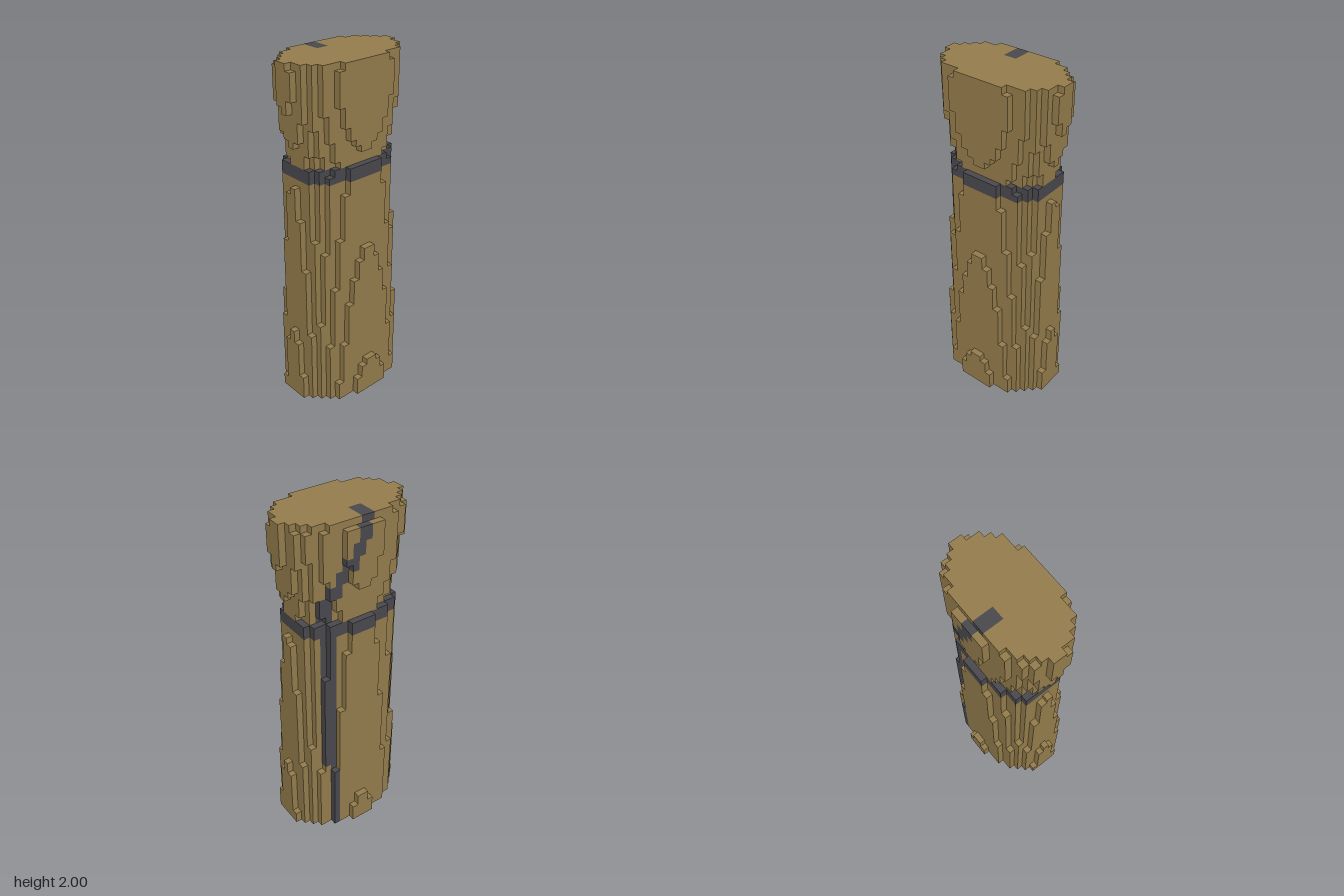
import * as THREE from 'three';

const LAYERS = 54;
const CELL = 2 / LAYERS;

// Elliptical cross-sections by layer: [layer, half width x, half depth z, centre z]
const SECTIONS = [
  [0, 10, 7.3, 0.1],
  [5.5, 9.77, 7.0, 0.03],
  [11.5, 9.5, 6.77, -0.05],
  [25, 8.94, 6.24, -0.23],
  [35.5, 8.5, 5.83, -0.38],
  [38, 8.4, 5.8, -0.4],
  [39, 7.95, 5.05, -0.3],
  [41, 8.35, 5.34, -0.3],
  [44, 8.95, 5.72, -0.3],
  [47, 9.51, 5.95, -0.25],
  [50, 9.8, 6.06, -0.2],
  [52, 9.75, 6.02, -0.2],
  [53, 9.6, 5.75, -0.2],
];

function sectionAt(j) {
  const i = Math.max(1, SECTIONS.findIndex((s) => s[0] >= j));
  const p = SECTIONS[i - 1], q = SECTIONS[i];
  const t = (j - p[0]) / (q[0] - p[0]);
  return p.map((v, k) => v + (q[k] - v) * t);
}
const TABLE = Array.from({ length: LAYERS }, (_, j) => sectionAt(j));

// Cell i spans x from i to i + 1; cell k is centred on z = k
function filled(i, j, k) {
  if (j < 0 || j >= LAYERS) return false;
  const [, a, b, c] = TABLE[j];
  return ((i + 0.5) / a) ** 2 + ((k - c) / b) ** 2 <= 1;
}

function partOf(i, j, k) {
  if (j === 37 || j === 38) return 'band';
  // Stripe runs up the back, then slants towards the middle of the top
  const start = j < 42 ? 4 : Math.round(4 - (6 * (j - 42)) / 11);
  const width = j < 13 ? 1 : 2;
  if (k <= -3 && i >= start && i < start + width) return 'backStripe';
  return 'body';
}

// Face directions: normal, then two edge axes whose cross product is the normal
const FACES = [];
for (let axis = 0; axis < 3; axis++) {
  for (const sign of [1, -1]) {
    const n = [0, 0, 0], u = [0, 0, 0], v = [0, 0, 0];
    n[axis] = sign;
    u[(axis + 1) % 3] = sign;
    v[(axis + 2) % 3] = 1;
    FACES.push([n, u, v]);
  }
}
const CORNERS = [[-1, -1], [1, -1], [1, 1], [-1, -1], [1, 1], [-1, 1]];

export function createModel() {
  const tan = new THREE.MeshStandardMaterial({ color: 0x967e4d });
  tan.name = 'tan';
  const charcoal = new THREE.MeshStandardMaterial({ color: 0x4a494e });
  charcoal.name = 'charcoal';

  const parts = {
    body: { material: tan, positions: [], normals: [] },
    band: { material: charcoal, positions: [], normals: [] },
    backStripe: { material: charcoal, positions: [], normals: [] },
  };

  // Keep only the exposed faces of the stepped blocks
  for (let j = 0; j < LAYERS; j++) {
    for (let i = -10; i < 10; i++) {
      for (let k = -7; k <= 7; k++) {
        if (!filled(i, j, k)) continue;
        const part = parts[partOf(i, j, k)];
        const centre = [i + 0.5, j + 0.5, k];
        for (const [n, u, v] of FACES) {
          if (filled(i + n[0], j + n[1], k + n[2])) continue;
          for (const [s, t] of CORNERS) {
            for (let d = 0; d < 3; d++) {
              part.positions.push((centre[d] + (n[d] + s * u[d] + t * v[d]) / 2) * CELL);
            }
            part.normals.push(...n);
          }
        }
      }
    }
  }

  const group = new THREE.Group();
  group.name = 'steppedColumn';
  for (const [name, { material, positions, normals }] of Object.entries(parts)) {
    const geometry = new THREE.BufferGeometry();
    geometry.setAttribute('position', new THREE.Float32BufferAttribute(positions, 3));
    geometry.setAttribute('normal', new THREE.Float32BufferAttribute(normals, 3));
    const mesh = new THREE.Mesh(geometry, material);
    mesh.name = name;
    group.add(mesh);
  }
  return group;
}
